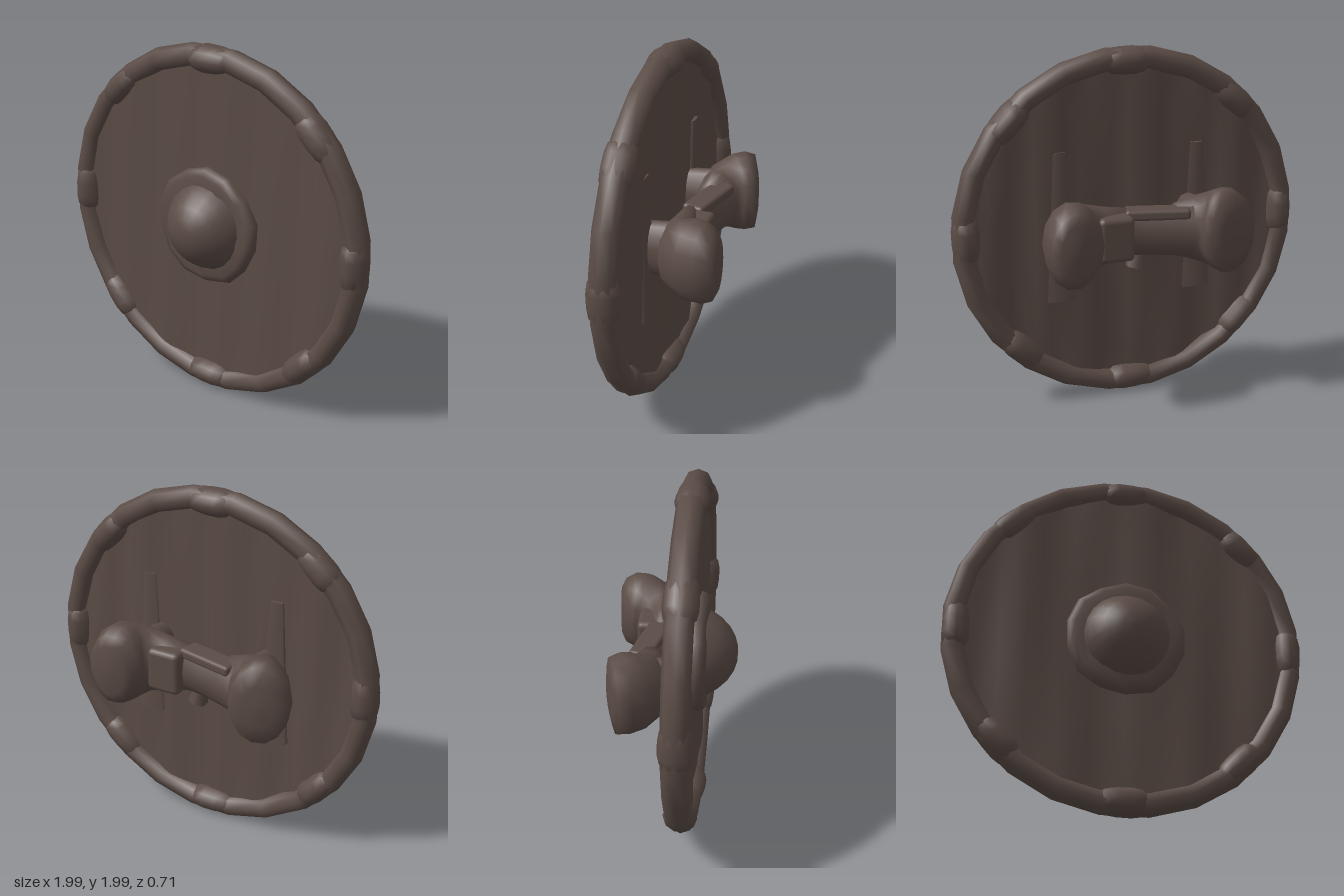
import * as THREE from 'three';
import { RoundedBoxGeometry } from 'three/addons/geometries/RoundedBoxGeometry.js';

const wood = new THREE.MeshStandardMaterial({ color: 0x5b4c46, side: THREE.DoubleSide });
wood.name = 'dark brown wood';

function add(group, name, geometry, x = 0, y = 0, z = 0) {
  const mesh = new THREE.Mesh(geometry, wood);
  mesh.name = name;
  mesh.position.set(x, y, z);
  group.add(mesh);
  return mesh;
}

// Closed loft along a path in the xz plane; each section is [x, y, z, halfWidth, halfHeight]
function loft(sections, sides = 14) {
  const pos = [], index = [], up = new THREE.Vector3(0, 1, 0);
  sections.forEach(([x, y, z, w, h], i) => {
    const a = sections[Math.max(i - 1, 0)], b = sections[Math.min(i + 1, sections.length - 1)];
    const t = new THREE.Vector3(b[0] - a[0], 0, b[2] - a[2]).normalize();
    const n = up.clone().cross(t);
    for (let j = 0; j < sides; j++) {
      const c = Math.cos(j / sides * Math.PI * 2) * w, s = Math.sin(j / sides * Math.PI * 2) * h;
      pos.push(x + n.x * c, y + s, z + n.z * c);
      if (i < sections.length - 1) {
        const k = (j + 1) % sides, p = i * sides, q = p + sides;
        index.push(p + j, p + k, q + k, p + j, q + k, q + j);
      }
    }
  });
  const g = new THREE.BufferGeometry();
  g.setAttribute('position', new THREE.Float32BufferAttribute(pos, 3));
  g.setIndex(index);
  g.computeVertexNormals();
  return g;
}

// Round board face made of vertical columns, gently folded in depth
function boardFace(depth, fold) {
  const g = new THREE.PlaneGeometry(2, 2, 30, 10);
  const p = g.attributes.position, R = 0.92;
  for (let i = 0; i < p.count; i++) {
    const x = R * Math.sin(p.getX(i) * Math.PI / 2);
    const v = p.getY(i);
    p.setXYZ(i, x, v * Math.sqrt(Math.max(R * R - x * x, 0)), depth + fold(x, v));
  }
  g.computeVertexNormals();
  return g;
}

function lathe(points, sides) {
  return new THREE.LatheGeometry(points.map(([r, y]) => new THREE.Vector2(r, y)), sides);
}

export function createModel() {
  const model = new THREE.Group();
  model.name = 'roundShield';

  // Board, front and back
  add(model, 'boardFront', boardFace(0.122, (x, v) => 0.01 * Math.sin(x * 9 + v * 1.2) + 0.006 * Math.sin(x * 19 - v)), 0, 1, 0);
  const back = boardFace(-0.068, (x, v) => 0.01 * Math.sin(x * 12 + v) + 0.008 * Math.sin(x * 23 - v));
  back.rotateY(Math.PI);
  add(model, 'boardBack', back, 0, 1, 0);

  // Tapered battens on the back
  for (const side of [-1, 1]) {
    const batten = new THREE.CylinderGeometry(0.05, 0.11, 0.85, 4);
    batten.rotateY(Math.PI / 4);
    batten.scale(1, 1, 0.3);
    add(model, 'batten', batten, side * 0.4, 1.02, 0.062);
  }

  // Rim hoop
  const rim = new THREE.TorusGeometry(0.937, 0.066, 8, 24);
  rim.rotateZ(Math.PI / 24);
  rim.scale(1, 1, 1.13);
  add(model, 'rim', rim, 0, 1, 0.09);

  // Swollen cuffs around the rim
  const cuffProfile = [[0.05, -0.14], [0.072, -0.1], [0.08, -0.04], [0.082, 0.04], [0.074, 0.09], [0.05, 0.12]];
  for (let i = 0; i < 8; i++) {
    const a = i * Math.PI / 4 - (i % 2) * 0.03;
    const cuff = lathe(cuffProfile, 10);
    cuff.scale(0.95, 1, 1.13);
    add(model, 'rimCuff', cuff, Math.cos(a) * 0.921, 1 + Math.sin(a) * 0.921, 0.092).rotation.z = a;
  }

  // Boss flange with a dented edge
  const flange = lathe([[0.33, 0.115], [0.34, 0.145], [0.325, 0.175], [0.295, 0.19], [0.25, 0.19], [0.2, 0.2]], 14);
  flange.rotateX(Math.PI / 2);
  const fp = flange.attributes.position;
  for (let i = 0; i < fp.count; i++) {
    const a = Math.atan2(fp.getY(i), fp.getX(i)), s = 0.985 + 0.02 * Math.sin(a * 5 + 1);
    fp.setXYZ(i, fp.getX(i) * s, fp.getY(i) * s, fp.getZ(i) - 0.006 * (1 + Math.sin(a * 4)));
  }
  flange.computeVertexNormals();
  add(model, 'bossFlange', flange, 0, 1, 0);

  // Boss dome
  const dome = lathe([[0.255, 0.15], [0.23, 0.2], [0.198, 0.25], [0.15, 0.3], [0.095, 0.333], [0.045, 0.348], [0, 0.35]], 20);
  dome.rotateX(Math.PI / 2);
  add(model, 'bossDome', dome, 0, 1, 0);

  // Horn-shaped supports that curve out and away from the board
  add(model, 'leftSupport', loft([
    [0.04, 1, -0.075, 0.001, 0.001], [0.05, 1, -0.075, 0.075, 0.14], [0.19, 1, -0.085, 0.095, 0.16],
    [0.3, 1, -0.1, 0.13, 0.19], [0.365, 1.0, -0.145, 0.16, 0.22], [0.405, 1.005, -0.21, 0.168, 0.24],
    [0.42, 1.005, -0.27, 0.155, 0.235], [0.418, 1.0, -0.325, 0.135, 0.205], [0.416, 1.0, -0.35, 0.095, 0.15],
    [0.416, 1.0, -0.357, 0.001, 0.001],
  ]), 0, 0, 0);
  add(model, 'rightSupport', loft([
    [-0.2, 1, -0.11, 0.001, 0.001], [-0.21, 1, -0.11, 0.1, 0.15], [-0.31, 1, -0.105, 0.12, 0.18],
    [-0.385, 1.0, -0.125, 0.15, 0.2], [-0.435, 1.005, -0.17, 0.165, 0.23], [-0.465, 1.005, -0.225, 0.17, 0.24],
    [-0.485, 1.0, -0.28, 0.165, 0.225], [-0.491, 1.0, -0.298, 0.09, 0.12], [-0.493, 1.0, -0.303, 0.001, 0.001],
  ]), 0, 0, 0);

  // Feet fixing the supports to the board
  for (const [name, x] of [['leftFoot', 0.33], ['rightFoot', -0.355]]) {
    const foot = new THREE.CylinderGeometry(0.1, 0.09, 0.16, 14);
    foot.rotateX(-Math.PI / 2);
    foot.scale(1, 1.7, 1);
    add(model, name, foot, x, 1, 0.0);
  }

  // Grip joining the supports
  add(model, 'grip', loft([
    [-0.3, 1, -0.15, 0.1, 0.15], [-0.18, 1, -0.125, 0.095, 0.14], [-0.05, 1, -0.1, 0.085, 0.13],
    [0.08, 1, -0.08, 0.08, 0.13],
  ], 10), 0, 0, 0);
  add(model, 'gripStrap', new RoundedBoxGeometry(0.36, 0.06, 0.13, 2, 0.02), -0.1, 1.11, -0.125).rotation.y = -0.23;

  // Block and knot beside the grip
  add(model, 'gripBlock', new RoundedBoxGeometry(0.2, 0.25, 0.14, 2, 0.03), 0.155, 1.0, -0.15);
  add(model, 'knot', new THREE.CylinderGeometry(0.035, 0.055, 0.11, 6), 0, 0.85, -0.07).rotation.z = 0.2;

  return model;
}
